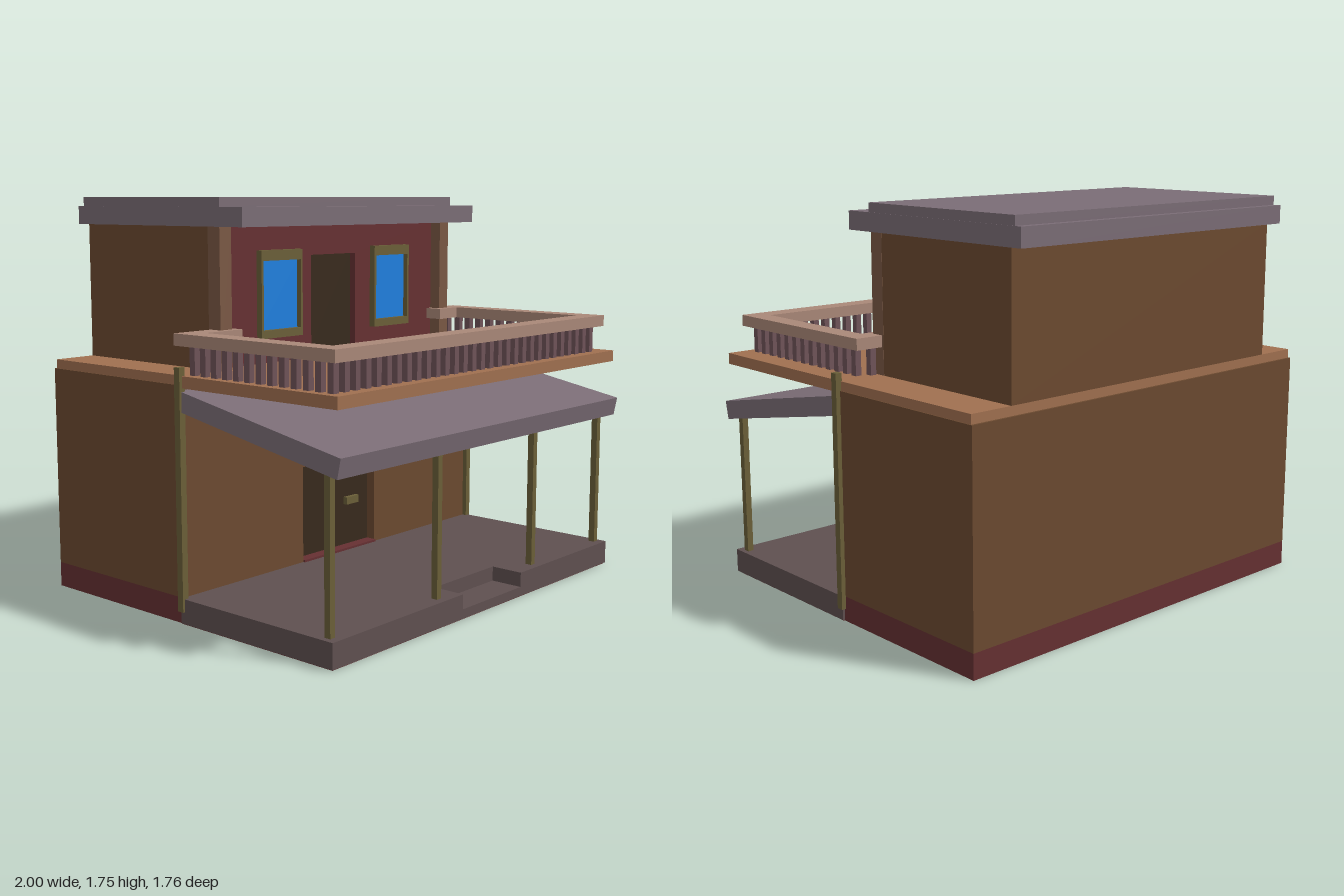
import * as THREE from 'three';

const mat = (color, side = THREE.FrontSide) => new THREE.MeshStandardMaterial({ color, side });
const M = {
  brown: mat(0x6c4a30), maroon: mat(0x663032), slate: mat(0x7b6d76), porch: mat(0x5f5050),
  olive: mat(0x6b5f38), dark: mat(0x382a1c), glass: mat(0x1f80df), deck: mat(0xa07050),
  rail: mat(0xaa8878), baluster: mat(0x6f5358), pillar: mat(0x7a5844),
};

export function createModel() {
  const root = new THREE.Group();
  root.name = 'house';

  const add = (name, geo, material, parent = root) => {
    const mesh = new THREE.Mesh(geo, material);
    mesh.name = name;
    parent.add(mesh);
    return mesh;
  };
  // Box given by its extents on each axis
  const box = (name, material, [x0, x1], [y0, y1], [z0, z1], parent = root) => {
    const mesh = add(name, new THREE.BoxGeometry(x1 - x0, y1 - y0, z1 - z0), material, parent);
    mesh.position.set((x0 + x1) / 2, (y0 + y1) / 2, (z0 + z1) / 2);
    return mesh;
  };
  const shape = (pts) => new THREE.Shape(pts.map(([x, y]) => new THREE.Vector2(x, y)));
  // Floor plan in (x, z), extruded from y0 to y1
  const plan = (name, material, pts, y0, y1) => {
    const geo = new THREE.ExtrudeGeometry(shape(pts), { depth: y1 - y0, bevelEnabled: false });
    geo.rotateX(Math.PI / 2).translate(0, y1, 0);
    return add(name, geo, material);
  };
  // Wall outline in (x, y) with a doorway cut up from its lower edge
  const doorWall = (name, material, [x0, x1], [y0, y1], [z0, z1], [d0, d1], top) => {
    const pts = [[x0, y0], [d0, y0], [d0, top], [d1, top], [d1, y0], [x1, y0], [x1, y1], [x0, y1]];
    const geo = new THREE.ExtrudeGeometry(shape(pts), { depth: z1 - z0, bevelEnabled: false });
    add(name, geo.translate(0, 0, z0), material);
  };

  // Foundation and ground floor
  box('foundation', M.maroon, [-0.98, 0.98], [0, 0.11], [-0.83, 0]);
  box('porchUnderside', M.maroon, [-0.985, 0.985], [0, 0.004], [0, 0.835]);
  box('groundFloorWalls', M.brown, [-0.98, 0.98], [0.11, 1.0], [-0.83, -0.06]);
  doorWall('groundFrontWall', M.brown, [-0.98, 0.98], [0.11, 1.0], [-0.06, 0], [-0.25, 0.25], 0.55);
  box('frontDoor', M.dark, [-0.25, 0.25], [0.11, 0.55], [-0.06, -0.045]);
  box('doorHandle', M.olive, [0.08, 0.165], [0.315, 0.35], [-0.045, -0.025]);
  box('doorThreshold', M.maroon, [-0.25, 0.25], [0.11, 0.12], [-0.05, 0.01]);

  // Porch floor with a step cut into its front edge
  box('porchBase', M.porch, [-0.99, 0.99], [0.004, 0.045], [0, 0.84]);
  plan('porchFloor', M.porch, [
    [-0.99, 0], [0.99, 0], [0.99, 0.84], [0.26, 0.84],
    [0.26, 0.69], [-0.17, 0.69], [-0.17, 0.84], [-0.99, 0.84],
  ], 0.045, 0.11);

  // Posts
  for (const x of [-0.95, -0.29, 0.41, 0.955])
    box('porchPost', M.olive, [x - 0.014, x + 0.014], [0.11, 0.77], [0.775, 0.805]);
  for (const s of [-1, 1])
    box('cornerPost', M.olive, [s * 0.985 - 0.015, s * 0.985 + 0.015], [0.055, 1.075], [-0.01, 0.022]);

  // Sloping awning: side profile in (z, y) swept across x
  const awning = new THREE.ExtrudeGeometry(
    shape([[0, 0.895], [0.863, 0.733], [0.88, 0.815], [0, 0.98]]),
    { depth: 1.98, bevelEnabled: false });
  awning.rotateY(-Math.PI / 2).scale(1, 1, 1).translate(0.99, 0, 0);
  add('awning', awning, M.slate);

  // Balcony deck
  box('balconyDeck', M.deck, [-0.985, 0.975], [0.99, 1.04], [0, 0.86]);
  box('rearDeck', M.deck, [-0.975, 0.975], [1.0, 1.04], [-0.82, 0]);

  // Hand rail with short returns to the upper walls
  plan('handRail', M.rail, [
    [-0.98, -0.03], [-0.68, -0.03], [-0.68, 0.06], [-0.885, 0.06], [-0.885, 0.75], [0.815, 0.75],
    [0.815, 0.06], [0.68, 0.06], [0.68, -0.03], [0.905, -0.03], [0.905, 0.845], [-0.98, 0.845],
  ], 1.16, 1.21);

  // Balusters along the front, both sides and the returns
  const balusters = new THREE.Group();
  balusters.name = 'balusters';
  root.add(balusters);
  const baluster = (x, z) =>
    box('baluster', M.baluster, [x - 0.014, x + 0.014], [1.04, 1.16], [z - 0.015, z + 0.015], balusters);
  for (let i = 0; i < 30; i++) baluster(-0.935 + i * 0.0617, 0.795);
  for (let i = 1; i < 13; i++)
    for (const x of [-0.935, 0.855]) baluster(x, 0.795 - i * 0.0625);
  for (const x of [-0.87, -0.81, 0.8]) baluster(x, 0.015);

  // Upper storey
  box('upperWalls', M.brown, [-0.775, 0.775], [1.04, 1.635], [-0.82, -0.07]);
  for (const s of [-1, 1]) {
    box('upperSideWall', M.brown, [s * 0.745 - 0.03, s * 0.745 + 0.03], [1.04, 1.635], [-0.07, -0.04]);
    box('upperPillar', M.pillar, [s * 0.743 - 0.033, s * 0.743 + 0.033], [1.04, 1.635], [-0.04, 0.03]);
  }
  doorWall('upperFrontWall', M.maroon, [-0.715, 0.715], [1.04, 1.635], [-0.07, -0.025], [-0.165, 0.135], 1.5);
  box('balconyDoor', M.dark, [-0.165, 0.135], [1.04, 1.5], [-0.07, -0.055]);

  // Windows: glass inside a frame of four bars
  for (const x of [-0.38, 0.37]) {
    const w = new THREE.Group();
    w.name = 'window';
    root.add(w);
    box('glass', M.glass, [x - 0.118, x + 0.118], [1.185, 1.485], [-0.03, -0.018], w);
    box('lintel', M.olive, [x - 0.128, x + 0.128], [1.485, 1.53], [-0.03, 0.005], w);
    box('sill', M.olive, [x - 0.128, x + 0.128], [1.15, 1.185], [-0.03, 0.005], w);
    for (const s of [-1, 1])
      box('jamb', M.olive, [x + s * 0.122 - 0.006, x + s * 0.122 + 0.006], [1.185, 1.485], [-0.03, 0.005], w);
  }

  // Flat roof in two layers
  box('roofSlab', M.slate, [-0.785, 0.782], [1.635, 1.715], [-0.88, 0.172]);
  box('roofCap', M.slate, [-0.783, 0.78], [1.715, 1.755], [-0.845, 0.037]);

  return root;
}
